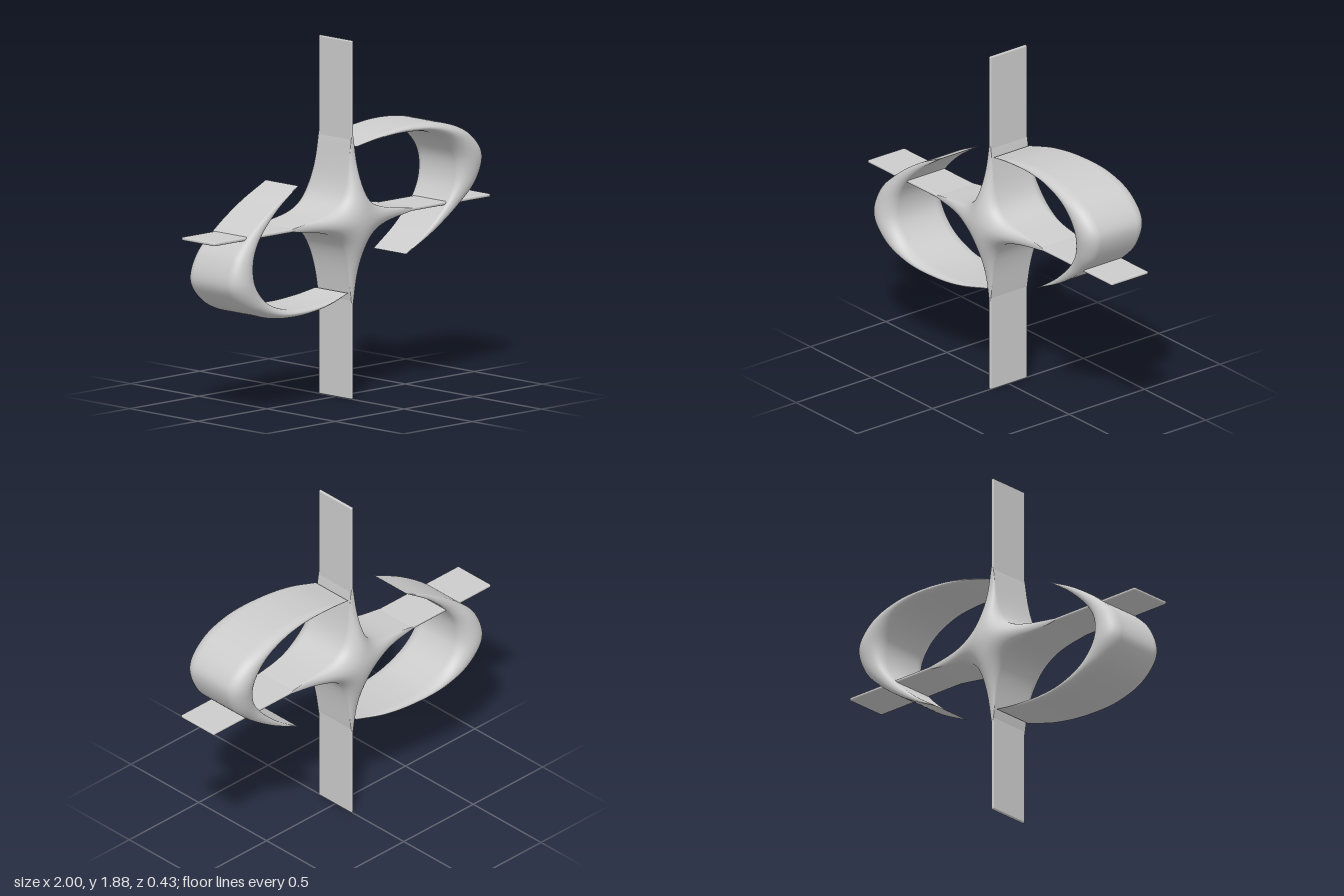
import * as THREE from 'three';
import { RoundedBoxGeometry } from 'three/addons/geometries/RoundedBoxGeometry.js';

const CY = 0.94;   // height of the centre
const HALF = 0.12; // half depth of the straight walls
const mat = new THREE.MeshStandardMaterial({ color: 0xcccccc, roughness: 0.6, side: THREE.DoubleSide });

// Skin rows of points; each row closes on itself
function skin(rows) {
  const n = rows[0].length, pos = rows.flat(2), idx = [];
  for (let i = 0; i < rows.length - 1; i++) {
    for (let j = 0; j < n; j++) {
      const k = (j + 1) % n;
      const a = i * n + j, b = i * n + k, c = a + n, d = b + n;
      idx.push(a, b, c, b, d, c);
    }
  }
  const g = new THREE.BufferGeometry();
  g.setAttribute('position', new THREE.Float32BufferAttribute(pos, 3));
  g.setIndex(idx);
  g.computeVertexNormals();
  return g;
}

// Four-pointed star: outline x²y² + c(x²+y²) = K, domed on front and back
function starGeometry() {
  const C = 5.5e-4, K = C * 0.205, STEPS = 18, RINGS = 24;
  const angles = [];
  for (let q = 0; q < 4; q++) {
    for (let s = -STEPS; s < STEPS; s++) {
      const u = s / STEPS; // samples crowd towards the tips
      const warp = Math.sign(u) * (1 - (1 - Math.abs(u)) ** 3);
      angles.push(Math.PI / 4 * (1 + 2 * q + warp));
    }
  }
  const ring = (f, side) => angles.map((th) => {
    const p = (Math.cos(th) * Math.sin(th)) ** 2;
    const edge2 = 2 * K / (C + Math.sqrt(C * C + 4 * p * K));
    const r = f * Math.sqrt(edge2);
    const e2 = (p * r ** 4 + C * r * r) / K;
    const dome = 0.095 * Math.exp(-((r / 0.25) ** 2)) * Math.sqrt(Math.max(0, 1 - e2));
    return [r * Math.cos(th), r * Math.sin(th), side * (HALF + dome)];
  });
  const rows = [];
  for (let i = 0; i <= RINGS; i++) rows.push(ring(Math.sin(i / RINGS * Math.PI / 2), -1));
  for (let i = RINGS; i >= 0; i--) rows.push(ring(Math.sin(i / RINGS * Math.PI / 2), 1));
  return skin(rows);
}

// Crescent: sections between an outer and an inner curve, swollen where wide
function crescentGeometry() {
  const pairs = [ // outer x, y, inner x, y
    [0.03, 1.32, 0.03, 1.32], [0.22, 1.37, 0.17, 1.342], [0.44, 1.39, 0.35, 1.353],
    [0.65, 1.367, 0.51, 1.34], [0.82, 1.295, 0.65, 1.28], [0.908, 1.18, 0.733, 1.175],
    [0.872, 1.045, 0.738, 1.065], [0.76, 0.93, 0.688, 0.96], [0.58, 0.805, 0.555, 0.825],
    [0.39, 0.71, 0.39, 0.71],
  ];
  const curve = (k) => new THREE.CatmullRomCurve3(
    pairs.map((p) => new THREE.Vector3(p[k], p[k + 1] - CY, 0)), false, 'centripetal');
  const outer = curve(0), inner = curve(2);
  const rows = [], N = 100, M = 16;
  for (let i = 0; i <= N; i++) {
    const o = outer.getPoint(i / N), n = inner.getPoint(i / N);
    const bulge = 0.44 * o.distanceTo(n);
    const row = [];
    for (const side of [1, -1]) {
      for (let j = 0; j <= M; j++) {
        const a = j / M * Math.PI;
        const p = n.clone().lerp(o, (1 + side * Math.cos(a)) / 2);
        row.push([p.x, p.y, side * (HALF + bulge * Math.sin(a))]);
      }
    }
    rows.push(row);
  }
  return skin(rows);
}

export function createModel() {
  const model = new THREE.Group();
  const add = (name, geometry, turn = 0) => {
    const mesh = new THREE.Mesh(geometry, mat);
    mesh.name = name;
    mesh.position.y = CY;
    mesh.rotation.z = turn;
    model.add(mesh);
  };

  // Thin crossed blades
  add('horizontalBlade', new RoundedBoxGeometry(2, 0.018, 0.244, 3, 0.008));
  add('verticalBlade', new RoundedBoxGeometry(0.018, 2 * CY, 0.244, 3, 0.008));

  // Swollen hub and the two crescents, half a turn apart
  add('starHub', starGeometry());
  const crescent = crescentGeometry();
  add('leftCrescent', crescent);
  add('rightCrescent', crescent, Math.PI);
  return model;
}
